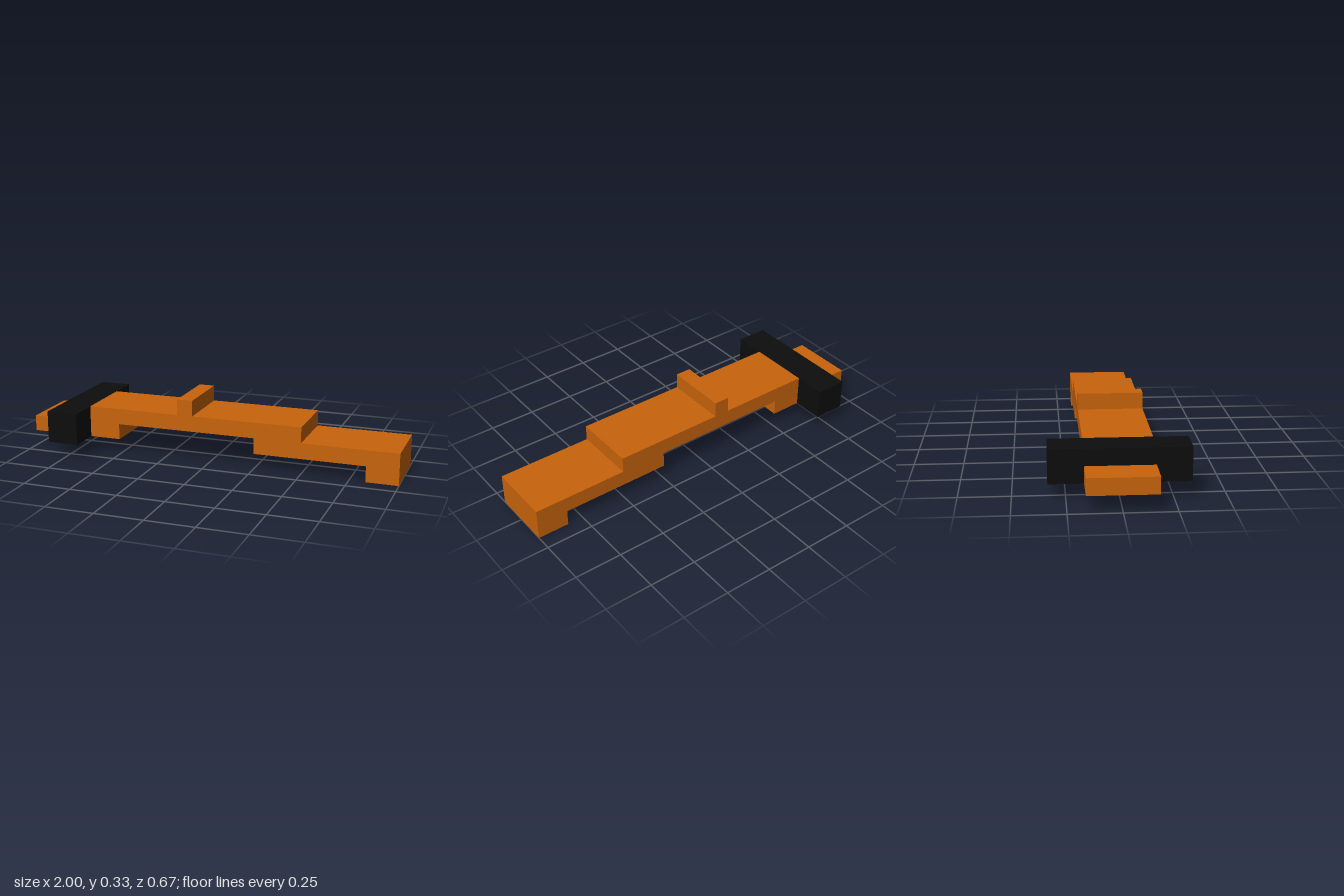
import * as THREE from 'three';

const U = 1 / 12; // modelling grid unit

export function createModel() {
  const model = new THREE.Group();
  const orange = new THREE.MeshStandardMaterial({ color: 0xc8640c });
  orange.name = 'orange';
  const black = new THREE.MeshStandardMaterial({ color: 0x0d0d0d });
  black.name = 'black';

  // Side profile in grid units, extruded along z and centred
  function addProfile(name, points, depth, material) {
    const shape = new THREE.Shape(points.map(([x, y]) => new THREE.Vector2(x * U, y * U)));
    const geometry = new THREE.ExtrudeGeometry(shape, { depth: depth * U, bevelEnabled: false });
    geometry.translate(0, 0, -depth * U / 2);
    const mesh = new THREE.Mesh(geometry, material);
    mesh.name = name;
    model.add(mesh);
  }

  // Stepped body with its feet and raised top ridge
  addProfile('body', [
    [-8, 1], [-6, 1], [-6, 2], [3, 2], [3, 1], [10, 1], [10, 0], [12, 0],
    [12, 2], [6, 2], [6, 3], [-1, 3], [-1, 4], [-2, 4], [-2, 3], [-8, 3],
  ], 4, orange);

  // Low tip beyond the crossbar
  addProfile('endTip', [[-12, 1], [-10, 1], [-10, 2], [-12, 2]], 4, orange);

  // Wide crossbar
  addProfile('crossbar', [[-10, 1], [-8, 1], [-8, 3], [-10, 3]], 8, black);

  return model;
}
